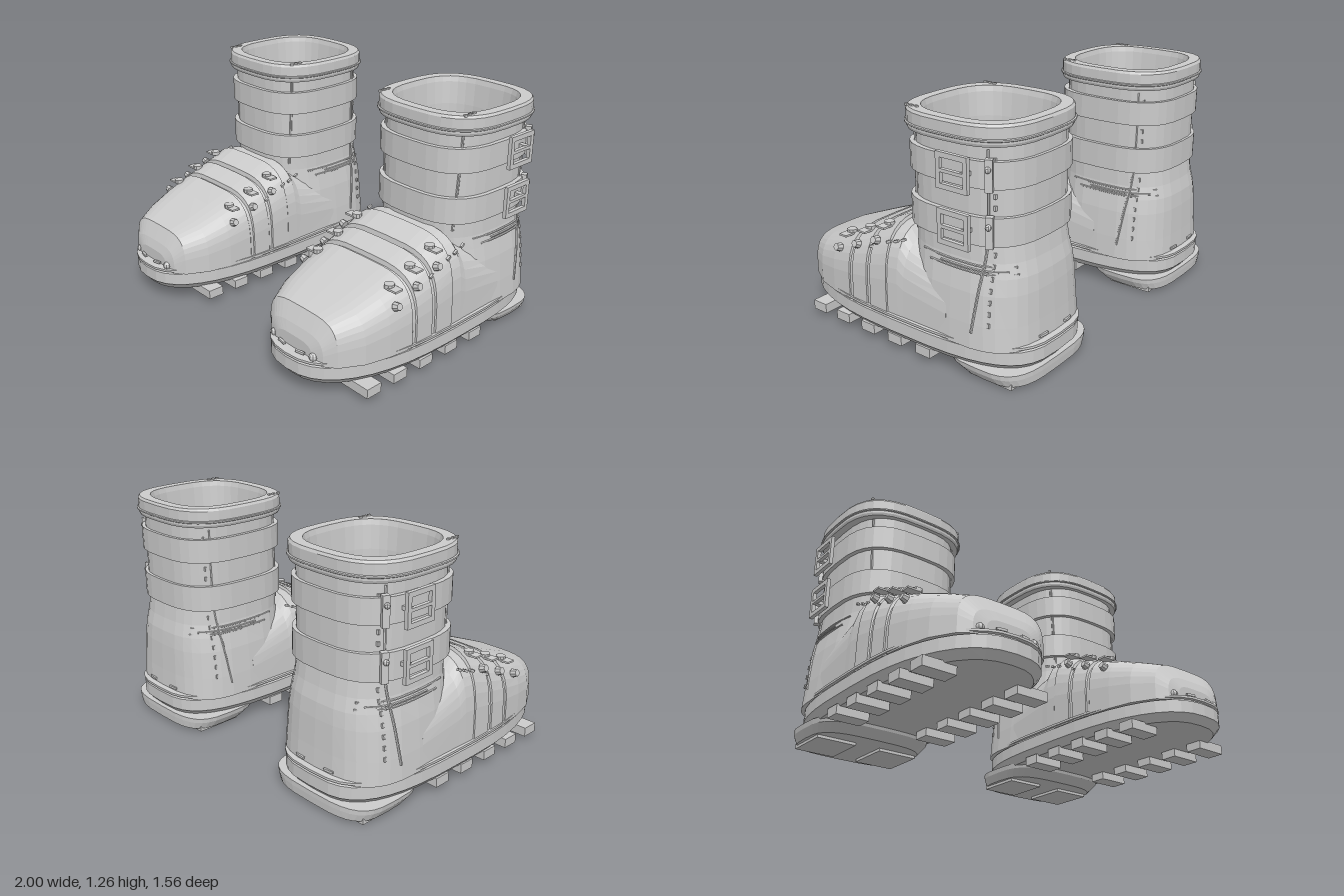
import * as THREE from 'three';

const grey = new THREE.MeshStandardMaterial({ color: 0xcccccc, flatShading: true });
const V = (x, y, z) => new THREE.Vector3(x, y, z);
const spow = (v, p) => Math.sign(v) * Math.abs(v) ** p;
const lerp = THREE.MathUtils.lerp;

function add(parent, name, geometry, x = 0, y = 0, z = 0) {
  const m = new THREE.Mesh(geometry, grey);
  m.name = name;
  m.position.set(x, y, z);
  parent.add(m);
  return m;
}

// Skin a list of equal-length closed rings, with optional end caps
function loft(rings, capStart = true, capEnd = true) {
  const n = rings[0].length, pos = [], idx = [];
  rings.flat().forEach(p => pos.push(p.x, p.y, p.z));
  for (let r = 0; r < rings.length - 1; r++) for (let i = 0; i < n; i++) {
    const a = r * n + i, b = r * n + (i + 1) % n;
    idx.push(a, a + n, b + n, a, b + n, b);
  }
  const cap = (r, flip) => {
    const c = pos.length / 3;
    const m = rings[r].reduce((s, p) => s.add(p), V(0, 0, 0)).divideScalar(n);
    pos.push(m.x, m.y, m.z);
    for (let i = 0; i < n; i++) {
      const a = r * n + i, b = r * n + (i + 1) % n;
      idx.push(c, flip ? b : a, flip ? a : b);
    }
  };
  if (capStart) cap(0, false);
  if (capEnd) cap(rings.length - 1, true);
  const g = new THREE.BufferGeometry();
  g.setAttribute('position', new THREE.Float32BufferAttribute(pos, 3));
  g.setIndex(idx);
  const flat = g.toNonIndexed();
  flat.computeVertexNormals();
  return flat;
}

// Horizontal rounded-square ring
function ring(y, rx, rz, cz = -0.367, n = 3, N = 32) {
  return Array.from({ length: N }, (_, i) => {
    const t = i / N * Math.PI * 2;
    return V(rx * spow(Math.cos(t), 2 / n), y, cz + rz * spow(Math.sin(t), 2 / n));
  });
}

// Point on the sole outline: round toe, squarer heel
function outline(t, y, inset, s) {
  const n = Math.sin(t) > 0 ? 2.5 : 3.3;
  const z = (0.775 - inset) * spow(Math.sin(t), 2 / n);
  const x = (0.367 - inset) * spow(Math.cos(t), 2 / n);
  return V(x - s * 0.02 * Math.max(0, z) ** 2, y, z);
}
const soleRing = (y, inset, s) =>
  Array.from({ length: 40 }, (_, i) => outline(i / 40 * Math.PI * 2, y, inset, s));

// Shaft profile rows: height, half width, back z
const FRONT = -0.045;
const SHAFT = [[0.18, 0.355, -0.75], [0.3, 0.348, -0.742], [0.45, 0.334, -0.735], [0.53, 0.32, -0.727],
  [0.6, 0.308, -0.71], [0.68, 0.305, -0.698], [1.17, 0.305, -0.695]];
function shaftAt(y) {
  const k = Math.max(1, SHAFT.findIndex(r => r[0] >= y));
  const a = SHAFT[k - 1], b = SHAFT[k], f = (y - a[0]) / (b[0] - a[0]);
  const back = lerp(a[2], b[2], f);
  return { rx: lerp(a[1], b[1], f), rz: (FRONT - back) / 2, cz: (FRONT + back) / 2 };
}
// Point on the side of the shaft at a given height and depth
function shaftSide(y, z, side) {
  const { rx, rz, cz } = shaftAt(y);
  return V(side * rx * Math.max(0, 1 - Math.abs((z - cz) / rz) ** 3) ** (1 / 3), y, z);
}

// Foot rows from toe to instep: z, half width, height (double rows make the flap steps)
const FOOT = [[0.725, 0.13, 0.27], [0.708, 0.19, 0.32], [0.667, 0.245, 0.4], [0.55, 0.308, 0.445],
  [0.42, 0.338, 0.496], [0.285, 0.353, 0.547], [0.28, 0.349, 0.528], [0.262, 0.35, 0.534],
  [0.257, 0.355, 0.558], [0.152, 0.359, 0.6], [0.147, 0.354, 0.578], [0.13, 0.354, 0.585],
  [0.125, 0.36, 0.61], [0.01, 0.362, 0.662], [0.005, 0.358, 0.645], [-0.06, 0.357, 0.655],
  [-0.1, 0.355, 0.6], [-0.37, 0.35, 0.5]];
function arch([z, w, h], s) {
  return Array.from({ length: 21 }, (_, i) => {
    const t = i / 20 * Math.PI;
    return V(w * spow(Math.cos(t), 0.5) - s * 0.02 * Math.max(0, z) ** 2,
      0.18 + (h - 0.18) * Math.max(0, Math.sin(t)) ** 0.5, z);
  });
}

// Small stitch bar between two points
function stitch(parent, a, b, name = 'stitch', w = 0.012) {
  const m = add(parent, name, new THREE.BoxGeometry(w, w, a.distanceTo(b)));
  m.position.addVectors(a, b).multiplyScalar(0.5);
  m.lookAt(b);
}
const tube = (pts, r, closed = false, seg = 24) =>
  new THREE.TubeGeometry(new THREE.CatmullRomCurve3(pts, closed), seg, r, 6, closed);

function rectPath(path, x, y, w, h) {
  path.moveTo(x, y); path.lineTo(x + w, y); path.lineTo(x + w, y + h); path.lineTo(x, y + h);
  path.closePath();
  return path;
}
function buckleGeometry() {
  const shape = rectPath(new THREE.Shape(), -0.09, -0.085, 0.18, 0.17);
  for (const y of [-0.06, 0.008]) shape.holes.push(rectPath(new THREE.Path(), -0.066, y, 0.132, 0.052));
  return new THREE.ExtrudeGeometry(shape, { depth: 0.02, bevelEnabled: false })
    .translate(0, 0, -0.01).rotateY(Math.PI / 2);
}

// One boot; s = +1 has its outer side on +x
function boot(s) {
  const g = new THREE.Group();
  g.name = s > 0 ? 'leftBoot' : 'rightBoot';

  // Sole, welt, heel and treads
  add(g, 'sole', loft([[0.07, 0.035], [0.105, 0.006], [0.11, 0], [0.175, 0], [0.18, 0.012], [0.2, 0.02]]
    .map(([y, i]) => soleRing(y, i, s))));
  add(g, 'welt', loft([[0.186, 0.03], [0.188, -0.003], [0.2, -0.003], [0.204, 0.03]].map(([y, i]) => soleRing(y, i, s))));
  add(g, 'heel', loft([ring(0.015, 0.31, 0.205, -0.565, 3.5), ring(0.055, 0.335, 0.235, -0.538, 3.5),
    ring(0.08, 0.34, 0.24, -0.533, 3.5)]));
  for (const side of [-1, 1]) {
    add(g, 'heelPad', new THREE.BoxGeometry(0.22, 0.03, 0.25), side * 0.18, 0.015, -0.585);
    for (const z of [0.535, 0.355, 0.17, -0.02, -0.21])
      add(g, 'tread', new THREE.BoxGeometry(0.18, 0.05, 0.093), side * 0.257, 0.053, z);
  }
  for (let i = 0; i < 24; i++) {
    const t = (i + 0.25) / 24 * Math.PI * 2;
    stitch(g, outline(t, 0.219, 0.024, s), outline(t + 0.12, 0.219, 0.024, s), 'weltStitch');
  }
  for (const t of [1.25, 1.95]) {
    const p = outline(t, 0.215, 0.022, s);
    add(g, 'toeRivet', new THREE.SphereGeometry(0.022, 8, 6), p.x, p.y, p.z);
  }

  // Foot and shaft
  add(g, 'foot', loft(FOOT.map(r => arch(r, s))));
  add(g, 'shaft', loft(SHAFT.map(([y]) => {
    const { rx, rz, cz } = shaftAt(y);
    return ring(y, rx, rz, cz);
  }), true, false));

  // Collar continuing into the lining and its floor
  add(g, 'collar', loft([[1.145, 0.29], [1.147, 0.343], [1.16, 0.348], [1.235, 0.348], [1.248, 0.34],
    [1.248, 0.287], [1.22, 0.28], [1.1, 0.27], [0.63, 0.262]].map(([y, r]) => ring(y, r, r)), false));
  add(g, 'collarPiping', tube(ring(1.178, 0.35, 0.35), 0.007, true, 64));

  // Straps with buckles and keepers
  for (const [y0, y1] of [[0.953, 1.08], [0.685, 0.822]]) {
    add(g, 'strap', loft([[y0, 0.295], [y0, 0.328], [y1, 0.328], [y1, 0.295]]
      .map(([y, r]) => ring(y, r, r + 0.017)), false, false));
    const yc = (y0 + y1) / 2 + 0.004;
    add(g, 'buckle', buckleGeometry(), s * 0.363, yc, -0.445);
    add(g, 'bucklePin', new THREE.BoxGeometry(0.04, 0.02, 0.03), s * 0.34, yc, -0.5);
    const keeper = add(g, 'strapKeeper', new THREE.BoxGeometry(0.03, 0.15, 0.035), s * 0.297, yc, -0.597);
    keeper.rotation.y = s * 0.45;
    add(g, 'keeperStud', new THREE.SphereGeometry(0.015, 8, 6), s * 0.315, yc + 0.03, -0.603);
  }

  for (const side of [-1, 1]) {
    // Shaft seams
    add(g, 'rearSeam', tube([[1.13, -0.575], [0.9, -0.575], [0.66, -0.568], [0.45, -0.545], [0.26, -0.518]]
      .map(([y, z]) => shaftSide(y, z, side)), 0.007));
    add(g, 'frontSeam', tube([[1.14, -0.125], [0.9, -0.118], [0.64, -0.108]]
      .map(([y, z]) => shaftSide(y, z, side)), 0.007));
    for (let y = 0.3; y < 1.1; y += 0.055)
      stitch(g, shaftSide(y, -0.602, side), shaftSide(y + 0.022, -0.602, side));
    // Ankle creases
    for (const [y, z0, z1] of [[0.548, -0.25, -0.69], [0.562, -0.32, -0.66], [0.582, -0.2, -0.68]])
      add(g, 'ankleCrease', tube([0, 0.25, 0.5, 0.75, 1]
        .map(f => shaftSide(y, lerp(z0, z1, f), side)), 0.006));
    // Stitches along the instep edge
    for (const [z, y] of [[-0.1, 0.6], [-0.05, 0.58], [0, 0.565], [0.12, 0.51]])
      stitch(g, V(side * 0.318, y, z), V(side * 0.322, y - 0.01, z + 0.025));
    // Collar top stitches
    for (const z of [-0.095, -0.125, -0.155])
      stitch(g, V(side * 0.275, 1.25, z), V(side * 0.28, 1.25, z - 0.016), 'collarStitch');
    // Lace rivets on each flap: one upright, one on the side
    for (const [z, y] of [[0.352, 0.512], [0.213, 0.567], [0.075, 0.625]]) {
      add(g, 'topRivet', new THREE.CylinderGeometry(0.026, 0.026, 0.022, 10), side * 0.25, y - 0.005, z);
      add(g, 'rivetBar', new THREE.BoxGeometry(0.06, 0.01, 0.05), side * 0.285, y - 0.012, z);
      const r = add(g, 'sideRivet', new THREE.CylinderGeometry(0.018, 0.024, 0.03, 8), side * 0.33, y - 0.076, z + 0.024);
      r.rotation.z = -side * 1.25;
    }
  }
  return g;
}

export function createModel() {
  const model = new THREE.Group();
  model.name = 'boots';
  for (const s of [1, -1]) {
    const b = boot(s);
    b.position.x = s * 0.627;
    model.add(b);
  }
  return model;
}
